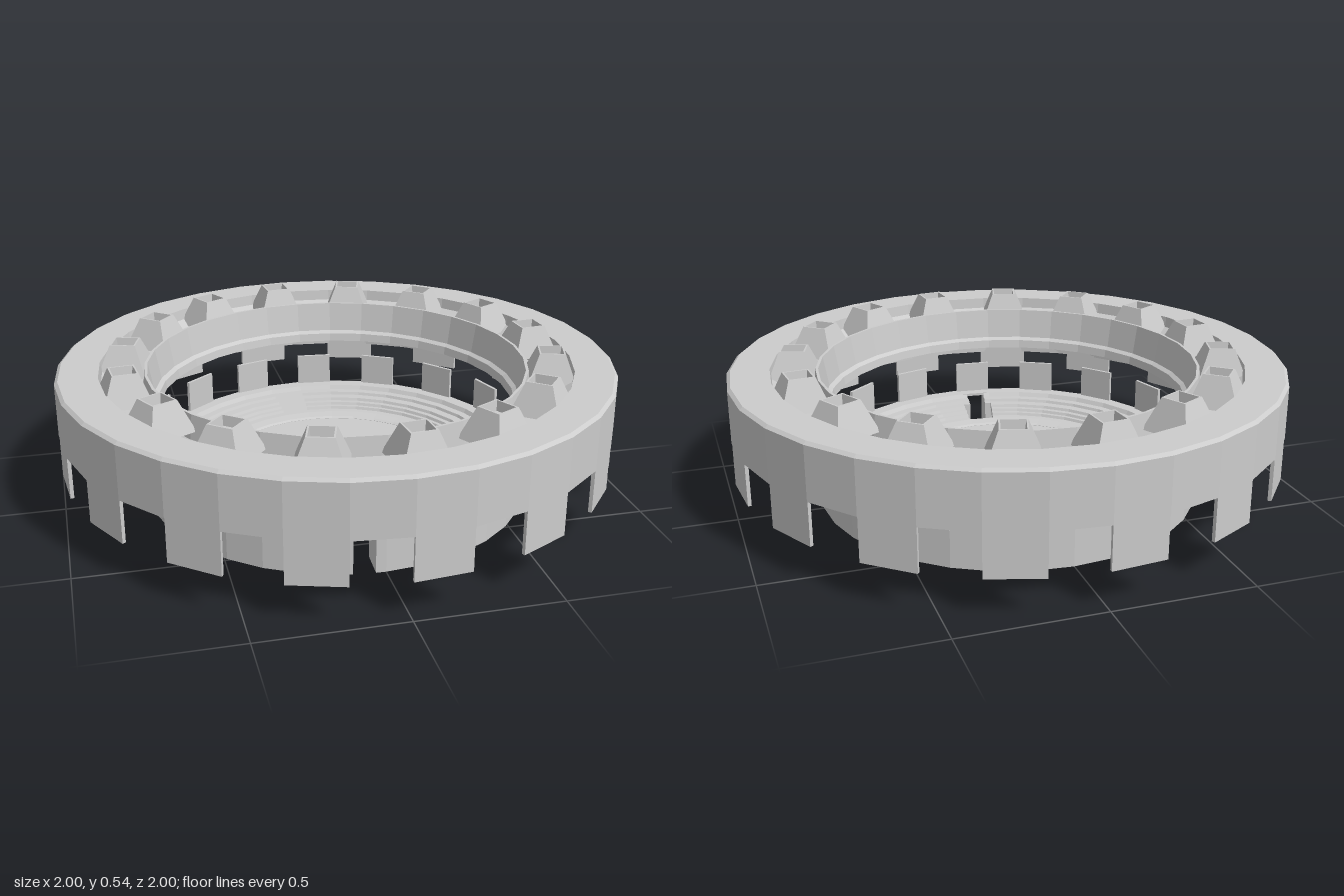
import * as THREE from 'three';

const SIDES = 32;
const STEP = (Math.PI * 2) / SIDES;
const mat = new THREE.MeshStandardMaterial({ color: 0xcccccc, flatShading: true, side: THREE.DoubleSide });

const toVectors = (pts) => pts.map(([r, y]) => new THREE.Vector2(r, y));

// Ring, or part of one, swept from a closed [radius, height] profile; partial rings get end caps
function sector(name, pts, first = 0, count = SIDES) {
  const group = new THREE.Group();
  group.name = name;
  const outline = toVectors([...pts, pts[0]]);
  const start = first * STEP;
  const length = count * STEP;
  const segments = Math.max(1, Math.round(count));
  const sweep = new THREE.Mesh(new THREE.LatheGeometry(outline, segments, start, length), mat);
  sweep.name = name + 'Surface';
  group.add(sweep);
  if (count < SIDES) {
    for (const angle of [start, start + length]) {
      const cap = new THREE.ShapeGeometry(new THREE.Shape(toVectors(pts)));
      cap.rotateY(angle - Math.PI / 2);
      const mesh = new THREE.Mesh(cap, mat);
      mesh.name = name + 'End';
      group.add(mesh);
    }
  }
  return group;
}

export function createModel() {
  const model = new THREE.Group();
  model.name = 'castellatedRing';

  // Upper ring: thin outer wall, flat flange and stepped trough with a tapering inner wall
  model.add(sector('upperRing', [
    [1, 0.29], [1, 0.48], [0.988, 0.49], [0.85, 0.49],
    [0.845, 0.45], [0.79, 0.42], [0.77, 0.42], [0.765, 0.405], [0.745, 0.405],
    [0.74, 0.39], [0.715, 0.39], [0.70, 0.40],
    [0.69, 0.485], [0.68, 0.485], [0.66, 0.375], [0.645, 0.365], [0.64, 0.335],
    [0.70, 0.335], [0.70, 0.315], [0.74, 0.315], [0.74, 0.30],
    [0.78, 0.30], [0.78, 0.28], [0.82, 0.28], [0.82, 0.26], [0.85, 0.26],
    [0.86, 0.475], [0.985, 0.475], [0.985, 0.29],
  ]));

  // Alternating teeth: skirt hangs down, base merlons point up; studs line the trough
  const r2 = Math.SQRT2;
  const studProfile = toVectors([
    [0.088 * r2, 0.43], [0.046 * r2, 0.54], [0.04 * r2, 0.54], [0.036 * r2, 0.505], [0, 0.505],
  ]);
  const studGeometry = new THREE.LatheGeometry(studProfile, 4, Math.PI / 4);
  for (let k = 0; k < SIDES; k += 2) {
    model.add(sector('skirtTooth', [[0.998, 0.135], [0.998, 0.295], [0.985, 0.295], [0.985, 0.135]], k, 1));
    model.add(sector('baseMerlon', [[0.695, 0.13], [0.695, 0.255], [0.684, 0.255], [0.684, 0.13]], k + 1, 1));

    const angle = (k + 0.5) * STEP;
    const stud = new THREE.Mesh(studGeometry, mat);
    stud.name = 'stud';
    stud.position.set(0.77 * Math.sin(angle), 0, 0.77 * Math.cos(angle));
    stud.rotation.y = angle;
    model.add(stud);
  }

  // Base rim, with a narrow notch through one segment at the front
  const rim = [
    [0.695, 0], [0.695, 0.135], [0.645, 0.135], [0.635, 0.12], [0.605, 0.12], [0.6, 0.11], [0.585, 0.11], [0.585, 0],
  ];
  model.add(sector('baseRim', rim, 0, SIDES - 1));
  model.add(sector('notchSide', rim, -0.25, 0.25));
  model.add(sector('notchSide', rim, -1, 0.2));
  model.add(sector('notchLintel', [[0.695, 0.125], [0.695, 0.135], [0.645, 0.135], [0.645, 0.125]], -1, 1));

  // Stepped dish between rim and floor, open underneath, with one segment left out
  model.add(sector('steppedDish', [
    [0.585, 0.11], [0.565, 0.11], [0.56, 0.1], [0.54, 0.1], [0.535, 0.09],
    [0.52, 0.09], [0.515, 0.08], [0.49, 0.08], [0.49, 0.03], [0.51, 0.05], [0.54, 0.07], [0.585, 0.09],
  ], 0, SIDES - 1));
  model.add(sector('dishCollar', [
    [0.49, 0.08], [0.45, 0.075], [0.44, 0.07], [0.44, 0], [0.455, 0], [0.465, 0.015], [0.49, 0.03],
  ]));

  // Round floor plate
  const floor = new THREE.Mesh(new THREE.CylinderGeometry(0.44, 0.44, 0.068, SIDES), mat);
  floor.name = 'floorPlate';
  floor.position.y = 0.035;
  model.add(floor);

  return model;
}
